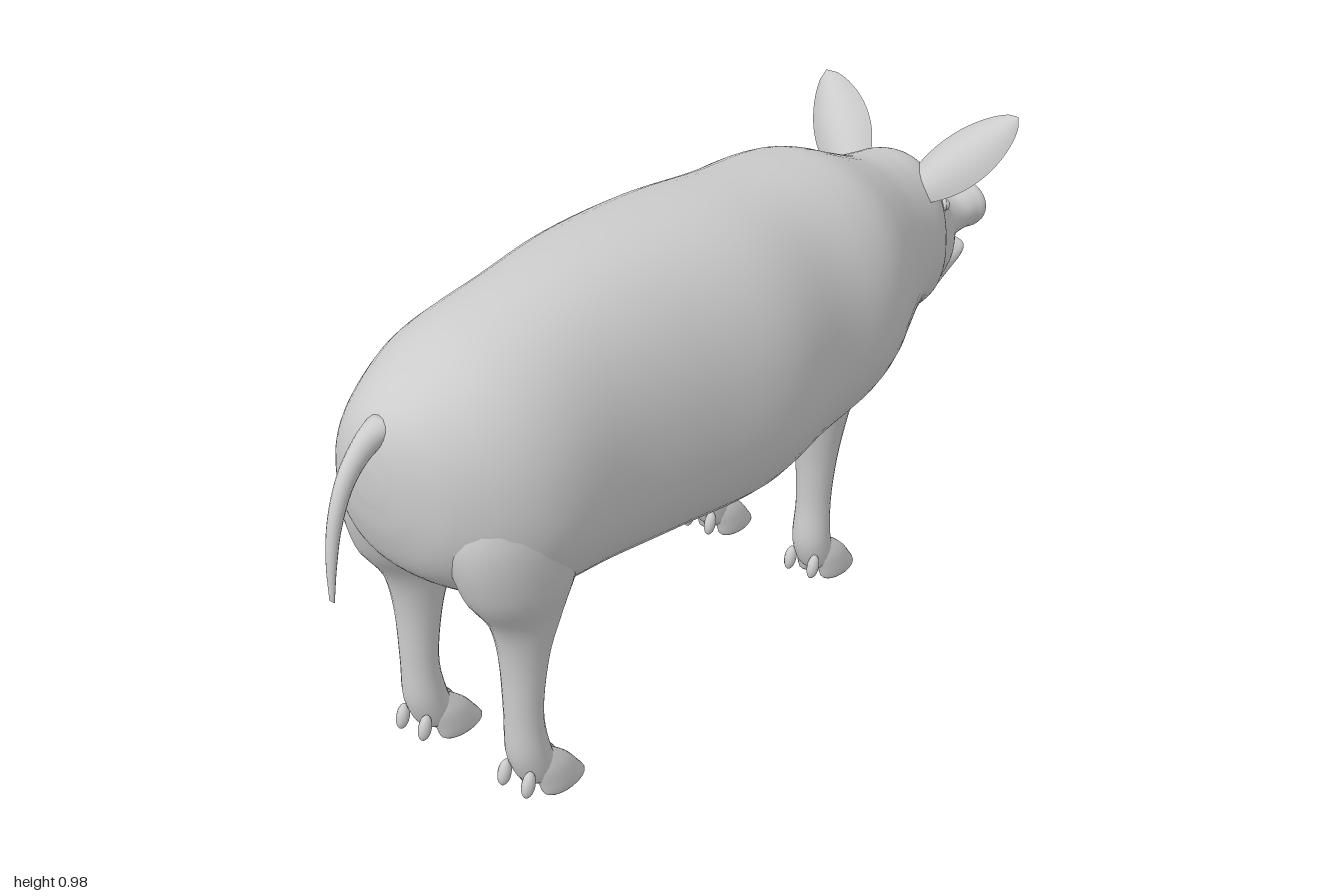
import * as THREE from 'three';

const V = (x, y, z) => new THREE.Vector3(x, y, z);
const X = V(1, 0, 0), Y = V(0, 1, 0), Z = V(0, 0, 1);
const grey = new THREE.MeshStandardMaterial({ color: 0xcccccc });
const thin = new THREE.MeshStandardMaterial({ color: 0xcccccc, side: THREE.DoubleSide });

// Smooth skin through sections [x, y, z, radius along A, radius along z].
function loft(sections, A, { seg = 24, steps = 5, power = 2, egg = 0 } = {}) {
  const curve = (f) => new THREE.CatmullRomCurve3(sections.map(f), false, 'catmullrom', 0.5);
  const path = curve((s) => V(s[0], s[1], s[2]));
  const radii = curve((s) => V(s[3], s[4], 0));
  const rows = (sections.length - 1) * steps;
  const pos = [], idx = [];
  const bend = (v) => Math.sign(v) * Math.abs(v) ** (2 / power);
  for (let i = 0; i <= rows; i++) {
    const c = path.getPoint(i / rows), r = radii.getPoint(i / rows);
    for (let j = 0; j < seg; j++) {
      const t = (j / seg) * Math.PI * 2;
      const a = bend(Math.cos(t)), b = bend(Math.sin(t)) * (1 - egg * a);
      const p = c.clone().addScaledVector(A, r.x * a).addScaledVector(Z, r.y * b);
      pos.push(p.x, p.y, p.z);
      if (i < rows) {
        const k = i * seg + j, n = i * seg + ((j + 1) % seg);
        idx.push(k, n, k + seg, n, n + seg, k + seg);
      }
    }
  }
  // end caps
  const first = pos.length / 3, last = rows * seg;
  for (const t of [0, 1]) { const c = path.getPoint(t); pos.push(c.x, c.y, c.z); }
  for (let j = 0; j < seg; j++) {
    const n = (j + 1) % seg;
    idx.push(first, n, j, first + 1, last + j, last + n);
  }
  const g = new THREE.BufferGeometry();
  g.setAttribute('position', new THREE.Float32BufferAttribute(pos, 3));
  g.setIndex(idx);
  g.computeVertexNormals();
  return g;
}

// Section from its top and bottom heights.
const slice = ([x, top, bottom, halfWidth, z = 0]) =>
  [x, (top + bottom) / 2, z, (top - bottom) / 2, halfWidth];

// Cupped leaf-shaped ear, opening forward.
function earGeometry(side) {
  const g = new THREE.PlaneGeometry(2, 1, 14, 18);
  const base = V(0.655, 0.75, 0.085), along = V(0.795, 0.918, 0.255).sub(base);
  const d = along.clone().normalize();
  const n = V(0.76, -0.65, 0);
  n.addScaledVector(d, -n.dot(d)).normalize();
  const across = d.clone().cross(n);
  const p = g.attributes.position;
  for (let i = 0; i < p.count; i++) {
    const t = p.getX(i), s = p.getY(i) + 0.5;
    const half = 0.07 * Math.max(0, Math.sin(Math.PI * (0.12 + 0.88 * s))) ** 0.6;
    const q = base.clone().addScaledVector(along, s)
      .addScaledVector(across, half * t)
      .addScaledVector(n, half * 0.5 * (t * t - 0.6));
    p.setXYZ(i, q.x, q.y, q.z * side);
  }
  g.computeVertexNormals();
  return g;
}

export function createModel() {
  const model = new THREE.Group();
  model.name = 'pig';
  const add = (name, geometry, parent = model, material = grey) => {
    const m = new THREE.Mesh(geometry, material);
    m.name = name;
    parent.add(m);
    return m;
  };

  // torso, neck and head in one skin: x, top, bottom, half width, z
  const trunk = [
    [-0.928, 0.75, 0.69, 0.03, 0], [-0.915, 0.81, 0.61, 0.085, 0.005], [-0.88, 0.86, 0.53, 0.145, 0.015],
    [-0.8, 0.91, 0.46, 0.205, 0.025], [-0.7, 0.945, 0.41, 0.24, 0.025], [-0.53, 0.972, 0.382, 0.246, 0.025],
    [-0.34, 0.983, 0.355, 0.275, 0.018], [-0.12, 0.978, 0.335, 0.298, 0.022], [0.08, 0.96, 0.347, 0.275, 0.022],
    [0.23, 0.946, 0.37, 0.28, 0.018], [0.33, 0.93, 0.388, 0.26, 0.018], [0.44, 0.885, 0.405, 0.212, 0.02],
    [0.54, 0.845, 0.42, 0.18, 0.01], [0.62, 0.826, 0.43, 0.165, 0], [0.7, 0.812, 0.425, 0.147, 0],
    [0.76, 0.77, 0.425, 0.118, 0], [0.82, 0.71, 0.435, 0.095, 0], [0.87, 0.655, 0.45, 0.074, 0],
    [0.905, 0.62, 0.475, 0.056, 0],
  ];
  add('body', loft(trunk.map(slice), Y, { seg: 56, steps: 6, power: 2.2, egg: 0.08 }));

  // snout, flaring to a flat disc
  add('snout', loft([
    [0.82, 0.69, 0.51, 0.085], [0.88, 0.645, 0.515, 0.068], [0.94, 0.622, 0.52, 0.06], [0.985, 0.63, 0.52, 0.064],
    [1.008, 0.638, 0.516, 0.071], [1.022, 0.636, 0.518, 0.069], [1.027, 0.626, 0.528, 0.058],
  ].map(slice), Y, { seg: 36 }));
  add('lowerJaw', loft([
    [0.8, 0.54, 0.432, 0.088], [0.88, 0.515, 0.446, 0.068], [0.94, 0.505, 0.458, 0.055],
    [0.975, 0.503, 0.47, 0.042], [0.99, 0.496, 0.482, 0.018],
  ].map(slice), Y, { seg: 28 }));

  // paired face parts
  for (const side of [1, -1]) {
    const label = side < 0 ? 'left' : 'right';
    add(label + 'Ear', earGeometry(side), model, thin);

    const eye = new THREE.Group();
    eye.name = label + 'Eye';
    eye.position.set(0.768, 0.678, 0.098 * side);
    eye.rotation.y = Math.PI / 2 - 0.95 * side;
    add('eyeball', new THREE.SphereGeometry(0.014, 16, 12), eye);
    add('eyelid', new THREE.TorusGeometry(0.016, 0.005, 8, 20), eye).scale.y = 0.75;
    model.add(eye);

    const nostril = add(label + 'Nostril', new THREE.TorusGeometry(0.012, 0.004, 8, 18));
    nostril.position.set(1.027, 0.59, 0.027 * side);
    nostril.rotation.y = Math.PI / 2;
    nostril.scale.y = 1.3;
  }

  // legs: height, x, z shift outward, half depth, half width
  const hind = [
    [0.74, -0.7, -0.03, 0.13, 0.08], [0.62, -0.725, -0.01, 0.155, 0.098], [0.5, -0.732, 0, 0.125, 0.086],
    [0.41, -0.722, 0, 0.08, 0.06], [0.32, -0.733, 0, 0.05, 0.045], [0.2, -0.743, 0, 0.037, 0.038],
    [0.11, -0.737, 0, 0.043, 0.042], [0.05, -0.715, 0, 0.045, 0.04], [0.025, -0.7, 0, 0.035, 0.03],
  ];
  const front = [
    [0.7, 0.23, -0.02, 0.11, 0.08], [0.58, 0.215, 0, 0.11, 0.085], [0.48, 0.2, 0, 0.085, 0.07],
    [0.39, 0.19, 0, 0.064, 0.055], [0.3, 0.183, 0, 0.046, 0.044], [0.2, 0.178, 0, 0.038, 0.038],
    [0.11, 0.175, 0, 0.042, 0.042], [0.05, 0.195, 0, 0.045, 0.04], [0.025, 0.21, 0, 0.035, 0.03],
  ];
  for (const [kind, rows, half] of [['hind', hind, 0.135], ['front', front, 0.142]]) {
    for (const side of [1, -1]) {
      const leg = new THREE.Group();
      leg.name = kind + (side < 0 ? 'Left' : 'Right') + 'Leg';
      const z = 0.02 + half * side;
      add('limb', loft(rows.map(([y, x, out, a, b]) => [x, y, z + out * side, a, b]), X));
      leg.add(model.children[model.children.length - 1]);

      // cloven hoof and dewclaws
      const ankle = rows[6][1];
      for (const t of [1, -1]) {
        add('toe', loft([
          [ankle + 0.012, 0.1, z + 0.014 * t, 0.022, 0.018], [ankle + 0.034, 0.065, z + 0.022 * t, 0.042, 0.027],
          [ankle + 0.052, 0.03, z + 0.027 * t, 0.05, 0.028], [ankle + 0.062, 0.008, z + 0.028 * t, 0.054, 0.027],
          [ankle + 0.063, 0, z + 0.028 * t, 0.048, 0.023],
        ], X, { seg: 20, steps: 4 }), leg);
        const claw = add('dewclaw', new THREE.SphereGeometry(0.016, 12, 10), leg);
        claw.position.set(ankle - 0.035, 0.058, z + 0.03 * t);
        claw.scale.set(0.9, 1.7, 0.8);
        claw.rotation.z = -0.3;
      }
      model.add(leg);
    }
  }

  // tapering tail
  add('tail', loft([
    [-0.87, 0.82, 0.01, 0.034, 0.034], [-0.93, 0.805, 0.012, 0.024, 0.021], [-0.985, 0.765, 0.018, 0.018, 0.016],
    [-1.022, 0.7, 0.022, 0.015, 0.013], [-1.042, 0.63, 0.026, 0.011, 0.01], [-1.051, 0.56, 0.028, 0.005, 0.005],
  ], V(0.707, -0.707, 0), { seg: 16 }));

  // two rows of teats
  [[-0.54, 0.392], [-0.43, 0.376], [-0.32, 0.36], [-0.2, 0.348], [-0.08, 0.344]].forEach(([x, y]) => {
    for (const side of [1, -1]) {
      const teat = add('teat', new THREE.SphereGeometry(0.014, 12, 10));
      teat.position.set(x, y, 0.02 + 0.075 * side);
      teat.scale.y = 1.5;
    }
  });

  // the animal stands at a slant to the front
  model.rotation.y = 0.297;
  const group = new THREE.Group();
  group.name = 'standingPig';
  group.add(model);
  return group;
}
